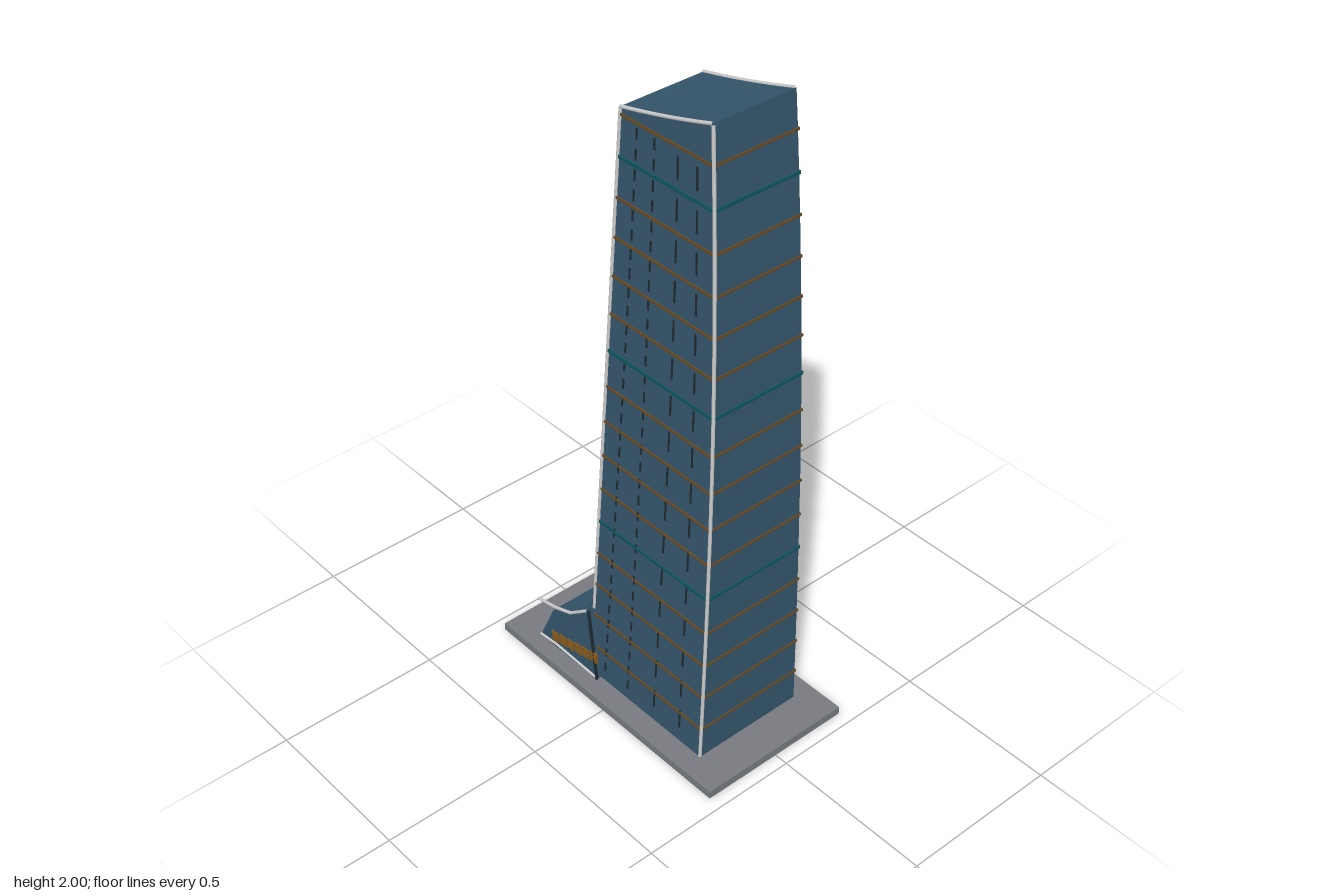
import * as THREE from 'three';

const material = (color, flat = true) => new THREE.MeshStandardMaterial({ color, flatShading: flat });
const glass = material(0x34566c);
const stone = material(0x777a80);
const trim = material(0xe4e4e4, false);
const bronze = material(0x6b4a22);
const teal = material(0x0f5560);
const dark = material(0x1e2a32);
const amber = material(0x8a5a1c);

const BASE = 0.025;

// Tower outline at height y: left side, bowed right side, tapering half depth
const leftX = y => -0.12 + (y - 0.27) * 0.061;
const rightX = y => 0.347 - (y < 0.8 ? 0.0117 * (0.8 - y) ** 2 : 0.029 * (y - 0.8) ** 2);
const halfZ = y => 0.182 - 0.0252 * y;

// Roof line rising in a shallow curve from left to right
const roof = [];
for (let i = 0; i <= 8; i++) {
  const t = i / 8;
  roof.push([-0.021 + 0.326 * t, 1.91 + 0.07 * t + 0.017 * t * t]);
}

// Extrudes a side profile across z, with half depth depending on height
function prism(points, depthAt) {
  const shape = new THREE.Shape(points.map(p => new THREE.Vector2(...p)));
  const geo = new THREE.ExtrudeGeometry(shape, { depth: 1, bevelEnabled: false });
  const pos = geo.attributes.position;
  for (let i = 0; i < pos.count; i++) {
    pos.setZ(i, (pos.getZ(i) > 0.5 ? 1 : -1) * depthAt(pos.getY(i)));
  }
  geo.computeVertexNormals();
  return geo;
}

export function createModel() {
  const model = new THREE.Group();

  function add(name, geo, mat, parent = model) {
    const mesh = new THREE.Mesh(geo, mat);
    mesh.name = name;
    parent.add(mesh);
    return mesh;
  }
  function group(name) {
    const g = new THREE.Group();
    g.name = name;
    model.add(g);
    return g;
  }

  // Ground slab
  add('baseSlab', new THREE.BoxGeometry(0.914, BASE, 0.5), stone).position.y = BASE / 2;

  // Tapered tower
  const outline = [[leftX(BASE), BASE]];
  for (let i = 0; i <= 12; i++) {
    const y = BASE + (1.9 - BASE) * i / 12;
    outline.push([rightX(y), y]);
  }
  outline.push(...[...roof].reverse());
  add('tower', prism(outline, halfZ), glass);

  // Podium with a sloped roof
  add('podium', prism([
    [-0.348, BASE], [-0.09, BASE], [-0.12, 0.27], [-0.2, 0.205], [-0.282, 0.165],
  ], () => 0.198), glass);

  // Floor bands wrapping the tower
  const bands = group('floorBands');
  for (let i = 0; i < 16; i++) {
    const y = 0.132 + i * 0.1172;
    const accent = i % 5 === 4;
    const x0 = leftX(y) - 0.003, x1 = rightX(y) + 0.003;
    const geo = new THREE.BoxGeometry(x1 - x0, accent ? 0.01 : 0.007, 2 * halfZ(y) + 0.007);
    add('floorBand', geo, accent ? teal : bronze, bands).position.set((x0 + x1) / 2, y, 0);
  }

  // Broken vertical ribs on the front: fraction across the face at bottom and top
  const ribs = group('facadeRibs');
  [[0.13, 0.19], [0.34, 0.38], [0.58, 0.63], [0.81, 0.83]].forEach(([a, b], k) => {
    const n = k < 2 ? 32 : 16;
    const step = 1.84 / n;
    const at = y => {
      const f = a + (b - a) * y / 1.9;
      return new THREE.Vector3(leftX(y) + f * (rightX(y) - leftX(y)), y, halfZ(y));
    };
    for (let i = 0; i < n; i++) {
      const y = 0.05 + (i + 0.5) * step;
      const length = step * 0.55;
      const rib = add('ribDash', new THREE.BoxGeometry(0.006, length, 0.004), dark, ribs);
      const dir = at(y + 0.02).sub(at(y - 0.02)).normalize();
      rib.position.copy(at(y));
      rib.quaternion.setFromUnitVectors(new THREE.Vector3(0, 1, 0), dir);
    }
  });

  // Pale tubes along the edges, made from straight runs
  function tube(name, points, radius = 0.005) {
    const path = new THREE.CurvePath();
    const v = points.map(p => new THREE.Vector3(...p));
    for (let i = 1; i < v.length; i++) path.add(new THREE.LineCurve3(v[i - 1], v[i]));
    add(name, new THREE.TubeGeometry(path, 40, radius, 8), trim);
  }
  for (const s of [1, -1]) {
    const side = s > 0 ? 'front' : 'back';
    tube(side + 'RoofTrim', roof.map(([x, y]) => [x, y, s * halfZ(y)]));
    tube(side + 'LeftEdgeTrim', [0.27, 1.1, 1.91].map(y => [leftX(y), y, s * halfZ(y)]));
  }
  const rightEdge = [];
  for (let i = 0; i <= 10; i++) {
    const y = 0.03 + 1.965 * i / 10;
    rightEdge.push([rightX(y), y, halfZ(y)]);
  }
  tube('frontRightEdgeTrim', rightEdge);

  // Podium trim: projecting eave, foot rail and corner post
  tube('podiumEave', [[-0.35, 0.168, 0.2], [-0.27, 0.185, 0.2], [-0.2, 0.21, 0.2], [-0.12, 0.272, 0.2]]);
  tube('podiumFootRail', [[-0.345, 0.032, 0.2], [-0.27, 0.039, 0.2], [-0.092, 0.034, 0.2]], 0.004);
  const post = add('podiumPost', new THREE.BoxGeometry(0.006, 0.245, 0.008), dark);
  post.position.set(-0.105, 0.147, 0.197);
  post.rotation.z = 0.122;

  // Row of small lit windows climbing along the podium front
  const windows = group('podiumWindows');
  for (let i = 0; i < 6; i++) {
    add('podiumWindow', new THREE.BoxGeometry(0.029, 0.034, 0.006), amber, windows)
      .position.set(-0.275 + i * 0.035, 0.066 + i * 0.008, 0.198);
  }

  return model;
}
